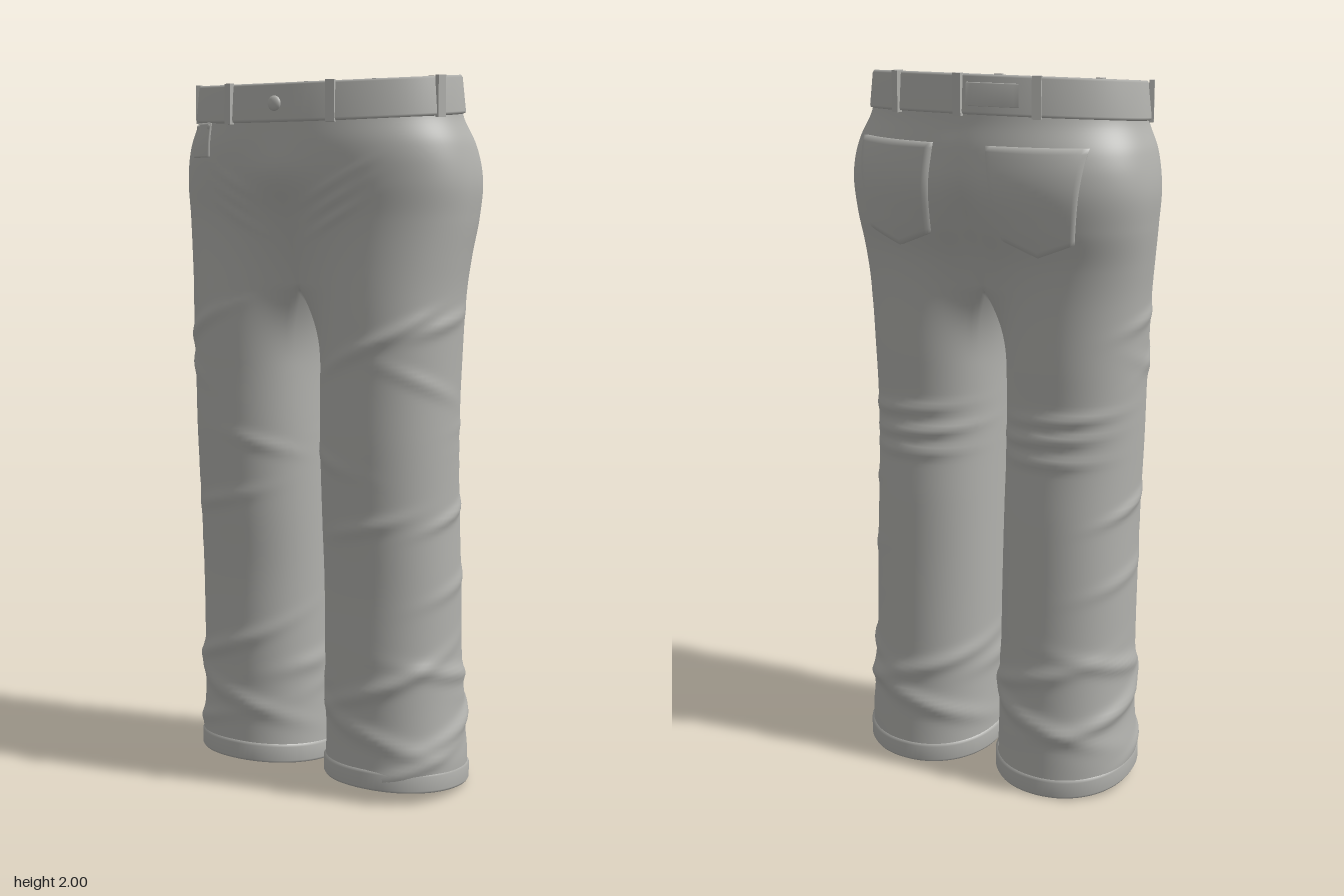
import * as THREE from 'three';
import { mergeVertices } from 'three/addons/utils/BufferGeometryUtils.js';

const N1 = 72, N2 = 20, N = N1 + N2; // outer and inner columns of each trouser half
const SPLIT = 1.42, CROTCH = 1.34;
const { lerp, smoothstep, clamp, degToRad } = THREE.MathUtils;

// rows: [y, inner x, outer x, front z, back z]
const LEG = [
  [0, .02, .415, .18, -.225], [.1, .022, .418, .18, -.22], [.2, .024, .408, .18, -.215],
  [.4, .025, .402, .185, -.205], [.6, .025, .402, .187, -.195], [.8, .025, .4, .2, -.185],
  [1, .025, .403, .208, -.17], [1.2, .025, .408, .208, -.173], [1.4, .022, .418, .213, -.185],
  [1.6, .01, .44, .22, -.22],
];
// rows: [y, half width, front z, back z]
const HIP = [
  [1.2, .41, .208, -.175], [1.4, .418, .212, -.185], [1.5, .43, .215, -.2], [1.6, .443, .224, -.232],
  [1.7, .449, .24, -.25], [1.8, .432, .25, -.246], [1.88, .402, .25, -.235], [2, .394, .25, -.232],
];
// folds: [angle from front, y, slope, height, angular length, thickness]
const FOLDS = [
  [170, 1.06, .02, .010, 45, .016], [185, 1.0, .02, .012, 45, .016], [180, .94, .01, .009, 40, .016],
  [20, 1.29, .10, .010, 45, .022], [80, 1.33, .05, .010, 30, .02], [60, 1.17, -.08, .006, 35, .02],
  [10, .78, .05, .007, 35, .02], [95, .8, .05, .009, 30, .016], [330, .95, -.05, .006, 30, .02],
  [20, .33, .08, .011, 60, .024], [0, .2, -.07, .010, 55, .026], [100, .34, -.05, .011, 50, .022],
  [110, .2, .05, .012, 55, .022], [200, .3, .06, .011, 60, .024], [190, .19, -.06, .013, 60, .026],
  [45, .1, .06, .008, 50, .02], [280, .3, .03, .006, 40, .025], [100, .6, .05, .006, 35, .02],
];

// smooth table lookup by height
function sample(table, y) {
  const last = table.length - 1;
  y = clamp(y, table[0][0], table[last][0]);
  let i = 0;
  while (i < last - 1 && y > table[i + 1][0]) i++;
  const a = table[i], b = table[i + 1], h = b[0] - a[0], t = (y - a[0]) / h;
  const p = table[Math.max(i - 1, 0)], q = table[Math.min(i + 2, last)];
  return a.slice(1).map((v, k) => {
    const m0 = (b[k + 1] - p[k + 1]) / (b[0] - p[0]) * h, m1 = (q[k + 1] - v) / (q[0] - a[0]) * h;
    const t2 = t * t, t3 = t2 * t;
    return v * (2 * t3 - 3 * t2 + 1) + m0 * (t3 - 2 * t2 + t) + b[k + 1] * (3 * t2 - 2 * t3) + m1 * (t3 - t2);
  });
}

const power = (v, e) => Math.sign(v) * Math.abs(v) ** e;

function hipPoint(a, y) {
  const [w, f, b] = sample(HIP, y);
  const full = smoothstep(1.95 - y, 0, .2); // squarer over the hips, rounder at the waist
  const e = 1 - full * (Math.cos(a) < 0 ? .2 : .1);
  return [w * power(Math.sin(a), e), (f + b) / 2 + (f - b) / 2 * power(Math.cos(a), e)];
}

function legPoint(deg, y, side) {
  const [i, o, f, b] = sample(LEG, y), r = degToRad(deg), s = Math.sin(r), c = Math.cos(r);
  let bump = 0;
  for (const [p, fy, slope, h, len, th] of FOLDS) {
    const d = ((deg - p + 900) % 360) - 180;
    const dy = y - fy - (side < 0 ? .03 : 0) - slope * side * d / 60;
    bump += h * Math.exp(-((d / len) ** 2) - (dy / th) ** 2);
  }
  bump *= 1 - smoothstep(y, 1.34, 1.41);
  return [(i + o) / 2 + ((o - i) / 2) * power(s, .94) + bump * s, (f + b) / 2 + ((f - b) / 2) * power(c, .94) + bump * c];
}

const topOf = c => c <= N1 ? SPLIT : SPLIT - (SPLIT - CROTCH) * Math.sin(Math.PI * (c - N1) / N2);

// cloth point for a column and height on the +x half; side chooses the fold pattern
function cloth(c, y, side) {
  const w = smoothstep(y, 1.2, 1.75);
  const k = clamp(1 - (topOf(c) - y) / .25, 0, 1) ** 4;
  if (c > N1) {
    const t = (c - N1) / N2, L = legPoint(240 + 60 * t, y, side), [, f, b] = sample(HIP, y);
    return [L[0] * (1 - w) * (1 - k), lerp(L[1], lerp(b, f, t), w)];
  }
  const s = c / N1, L = legPoint(-60 + 300 * s, y, side), T = hipPoint(Math.PI * s, y);
  let x = lerp(L[0], T[0], w), z = lerp(L[1], T[1], w);
  const nearEnd = Math.min(s, 1 - s), end = legPoint(s < .5 ? -60 : 240, y, side)[0] * (1 - w);
  x = Math.max(0, x - end * k * Math.exp(-((nearEnd / .06) ** 2)));
  if (s < .5) { // fly mound and slanting creases below it
    z += .012 * Math.exp(-((x / .1) ** 2) - ((y - 1.73) / .07) ** 2);
    for (const j of [0, 1, 2])
      z += .005 * Math.exp(-(((x - .16) / .07) ** 2) - ((y - 1.61 - j * .045 - (x - .16) * .55) / .012) ** 2);
  } else { // seat crease
    z += .02 * Math.exp(-((x / .035) ** 2) - ((y - 1.62) / .12) ** 2);
  }
  return [x, z];
}

// welded smooth surface from point grids
function surface(grids) {
  const out = [];
  for (const { at, cols, rows, flip } of grids) {
    const P = [];
    for (let r = 0; r <= rows; r++) P.push(Array.from({ length: cols + 1 }, (_, c) => at(c, r)));
    for (let r = 0; r < rows; r++) for (let c = 0; c < cols; c++) {
      const q = [P[r][c], P[r][c + 1], P[r + 1][c + 1], P[r + 1][c]];
      if (flip) q.reverse();
      out.push(...q[0], ...q[1], ...q[2], ...q[0], ...q[2], ...q[3]);
    }
  }
  const g = new THREE.BufferGeometry();
  g.setAttribute('position', new THREE.Float32BufferAttribute(out, 3));
  const m = mergeVertices(g, 1e-4);
  m.computeVertexNormals();
  return m;
}

// height and depth of the cloth at a given x, on the front or back
function depthAt(x, y, back) {
  let lo = back ? N1 / 2 : 0, hi = back ? N1 : N1 / 2;
  for (let i = 0; i < 24; i++) {
    const m = (lo + hi) / 2;
    if ((cloth(m, y, 1)[0] > Math.abs(x)) === back) lo = m; else hi = m;
  }
  return cloth((lo + hi) / 2, y, 1)[1];
}

export function createModel() {
  const group = new THREE.Group();
  const denim = new THREE.MeshStandardMaterial({ color: 0xb2b2ae, side: THREE.DoubleSide });
  denim.name = 'grey denim';
  const add = (name, geo) => {
    const m = new THREE.Mesh(geo, denim);
    m.name = name;
    group.add(m);
    return m;
  };
  const hemY = z => .026 + .1 * z;

  // seat and both legs in one welded cloth
  const body = [];
  for (const side of [1, -1]) {
    const flip = side < 0;
    body.push({ cols: N, rows: 110, flip, at: (c, r) => {
      const col = c % N, y = lerp(hemY(cloth(col, .03, side)[1]), topOf(col), r / 110);
      const [x, z] = cloth(col, y, side);
      return [side * x, y, z];
    } });
    body.push({ cols: N1, rows: 44, flip, at: (c, r) => {
      const y = lerp(SPLIT, 1.888 - .08 * cloth(c, 1.88, side)[1], r / 44);
      const [x, z] = cloth(c, y, side);
      return [side * x, y, z];
    } });
  }
  add('trouserCloth', surface(body));

  // turned hems
  for (const side of [1, -1]) {
    const profile = [[-.012, .07], [-.012, .004], [-.006, -.003], [.002, -.003], [.006, .004], [.006, .045], [0, .052]];
    add(side > 0 ? 'leftHem' : 'rightHem', surface([{ cols: N, rows: profile.length - 1, flip: side < 0, at: (c, r) => {
      const [x, z] = cloth(c % N, .03, side), [off, up] = profile[r];
      const dx = x - .22, dz = z + .02, l = Math.hypot(dx, dz);
      return [side * (x + dx / l * off), hemY(z) + up, z + dz / l * off];
    } }]));
  }

  // waistband, higher at the back
  const bandPoint = (a, off, v) => {
    const z0 = .008 + .242 * Math.cos(a);
    const w = lerp(.404, .393, v) + off, d = lerp(.246, .241, v) + off;
    return [w * Math.sin(a), lerp(1.88, 1.98, v) - .078 * z0, .008 + d * Math.cos(a)];
  };
  const bandProfile = [[-.012, 0], [0, -.02], [.007, 0], [.009, .06], [.008, .94], [.004, 1], [-.006, 1], [-.01, .94], [-.012, 0]];
  add('waistband', surface([{ cols: 96, rows: bandProfile.length - 1, at: (c, r) =>
    bandPoint((c % 96) / 96 * Math.PI * 2, ...bandProfile[r]) }]));

  // belt loops
  const angles = [.41, -.41, 1.31, -1.31, Math.PI, 2.6, -2.6];
  for (const a of angles) {
    const loop = add('beltLoop', new THREE.BoxGeometry(.024, .108, .014));
    loop.position.set(...bandPoint(a, .011, .48));
    loop.rotation.y = Math.atan2(Math.sin(a) * .245, Math.cos(a) * .4);
  }

  // waist patch on the right of the back
  add('waistPatch', surface([{ cols: 10, rows: 3, at: (c, r) =>
    bandPoint(Math.PI + .06 + c * .036, r % 3 ? .014 : .008, [.2, .22, .78, .8][r]) }]));

  // button and coin pocket rivets
  const stud = (name, x, y, z, r) => {
    const s = add(name, new THREE.SphereGeometry(r, 20, 12));
    s.scale.z = .5;
    s.position.set(x, y, z);
  };
  stud('button', 0, 1.907, .262, .02);
  for (const x of [-.33, -.262]) stud('rivet', x, 1.853, depthAt(x, 1.853, false) + .003, .008);

  // raised patches that follow the cloth
  const patch = (name, back, side, cx, top, halfTop, halfBottom, height, point, lift) => {
    const n = 20, inset = i => i === 0 ? 0 : i === n ? 1 : (i - 1) / (n - 2);
    add(name, surface([{ cols: n, rows: n, flip: (side > 0) !== back, at: (c, r) => {
      const u = inset(c) * 2 - 1, v = inset(r);
      const x = cx + u * lerp(halfTop, halfBottom, v);
      const y = top - v * (height + point * (1 - Math.abs(u)));
      const edge = c === 0 || r === 0 || c === n || r === n;
      const off = edge ? -.003 : lift, dir = back ? -1 : 1;
      return [side * (x + off * .35), y, depthAt(x, y, back) + dir * off];
    } }]));
  };
  patch('leftBackPocket', true, 1, .21, 1.82, .13, .1, .245, .04, .011);
  patch('rightBackPocket', true, -1, .21, 1.82, .13, .1, .245, .04, .011);
  patch('coinPocket', false, -1, .296, 1.865, .043, .041, .095, 0, .004);

  return group;
}
